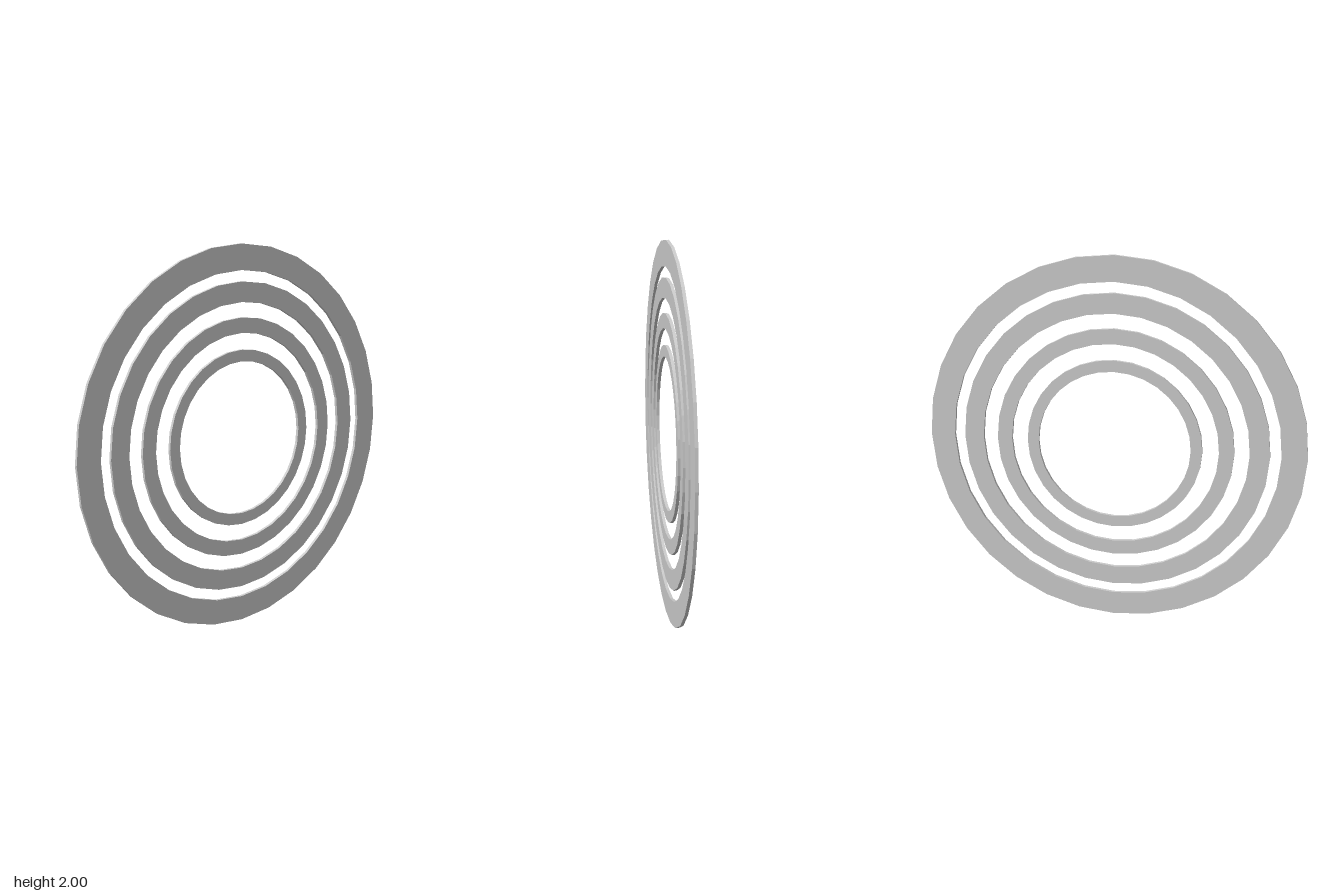
import * as THREE from 'three';

const SEGMENTS = 32;
const THICKNESS = 0.016;
const CENTRE_Y = 1;

// Corner points of a regular polygon with a vertex at the top
function circlePoints(radius) {
  return Array.from({ length: SEGMENTS }, (_, i) => {
    const a = (i / SEGMENTS) * Math.PI * 2;
    return new THREE.Vector2(radius * Math.cos(a), radius * Math.sin(a));
  });
}

// Flat washer-like ring, centred on z = 0
function ringGeometry(outer, inner) {
  const shape = new THREE.Shape(circlePoints(outer));
  shape.holes.push(new THREE.Path(circlePoints(inner).reverse()));
  const geometry = new THREE.ExtrudeGeometry(shape, { depth: THICKNESS, bevelEnabled: false });
  return geometry.translate(0, 0, -THICKNESS / 2);
}

export function createModel() {
  const group = new THREE.Group();
  group.name = 'concentricRings';
  const material = new THREE.MeshStandardMaterial({ color: 0xcccccc, flatShading: true });

  // Four concentric rings, each narrower towards the middle
  const rings = [
    ['outerRing', 1.0, 0.868],
    ['secondRing', 0.811, 0.707],
    ['thirdRing', 0.629, 0.55],
    ['innerRing', 0.464, 0.404],
  ];
  for (const [name, outer, inner] of rings) {
    const mesh = new THREE.Mesh(ringGeometry(outer, inner), material);
    mesh.name = name;
    mesh.position.y = CENTRE_Y;
    group.add(mesh);
  }
  return group;
}
